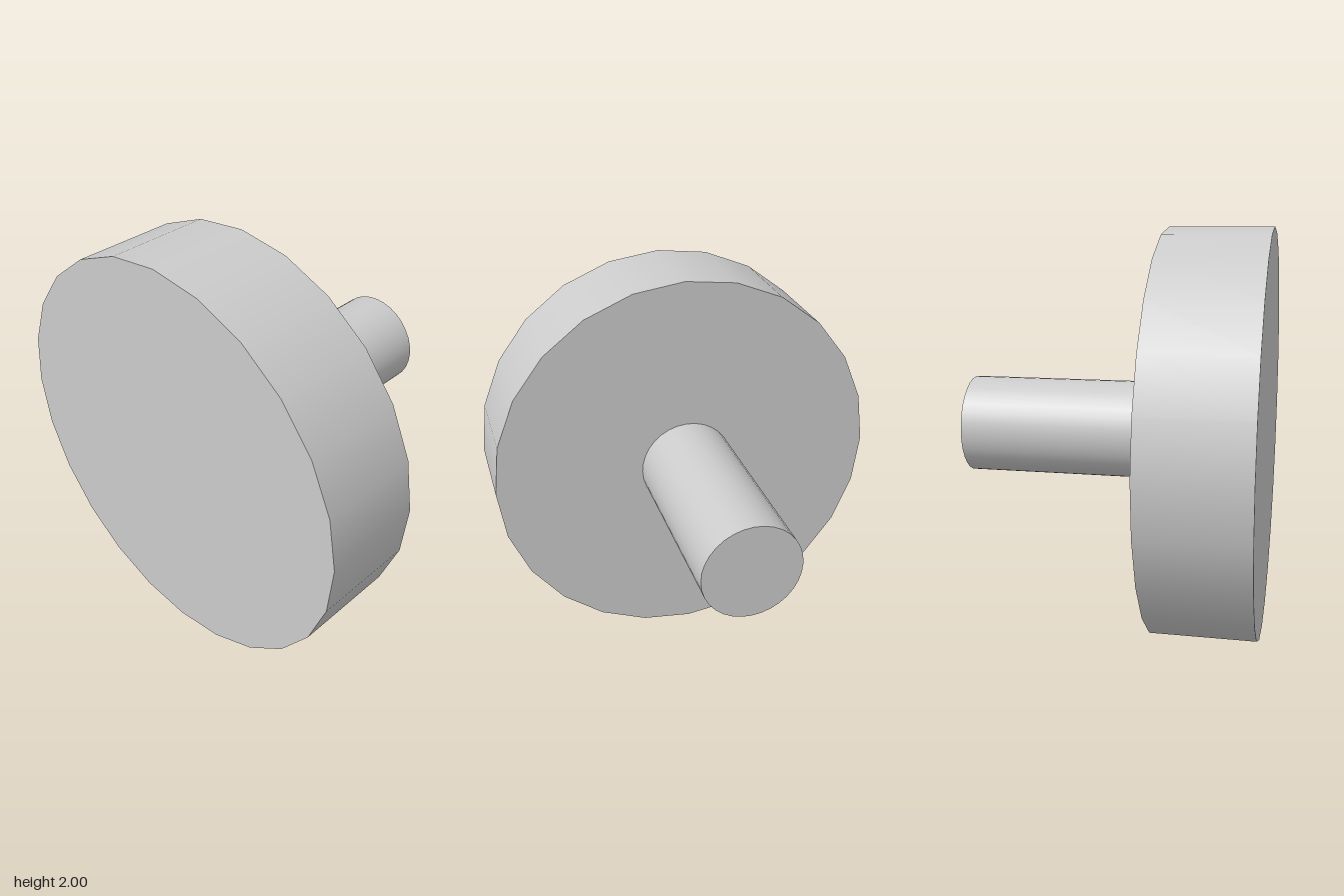
import * as THREE from 'three';

const material = new THREE.MeshStandardMaterial({ color: 0xcccccc });

// Closed cylinder lying along z, between two z positions
function cylinderAlongZ(name, radius, zBack, zFront, sides) {
  const geometry = new THREE.CylinderGeometry(radius, radius, zFront - zBack, sides);
  geometry.rotateX(Math.PI / 2);
  const mesh = new THREE.Mesh(geometry, material);
  mesh.name = name;
  mesh.position.set(0, 1, (zBack + zFront) / 2);
  return mesh;
}

export function createModel() {
  const group = new THREE.Group();
  group.name = 'knob';

  // Wide round head at the front
  group.add(cylinderAlongZ('head', 1, 0.25, 0.75, 24));

  // Narrow shaft reaching back from the head
  group.add(cylinderAlongZ('shaft', 0.242, -0.75, 0.25, 32));

  return group;
}
